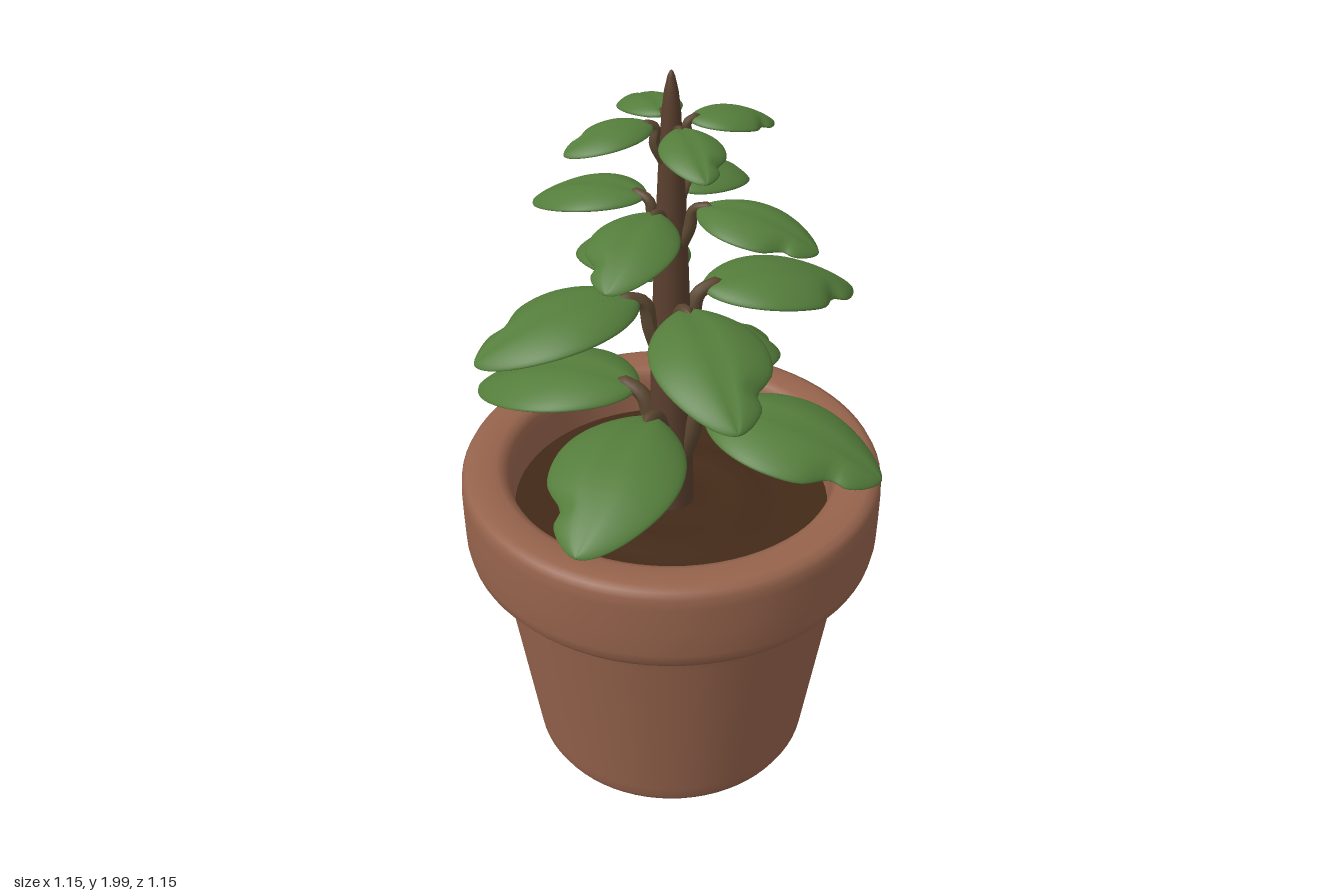
import * as THREE from 'three';

const mat = (color, extra = {}) => new THREE.MeshStandardMaterial({ color, roughness: 0.85, ...extra });
const clay = mat(0x96634c);
const earth = mat(0x432a18);
const bark = mat(0x5a3f2e);
const twig = mat(0x5a4630);
const green = mat(0x547d3b);

function add(parent, geometry, material, name) {
  const mesh = new THREE.Mesh(geometry, material);
  mesh.name = name;
  parent.add(mesh);
  return mesh;
}

const lathe = (pairs, segments) =>
  new THREE.LatheGeometry(pairs.map(([r, y]) => new THREE.Vector2(r, y)), segments);

// Puffy closed leaf growing along +z: a flattened tube with a midrib groove,
// drooping edges and a notch near the tip on one side.
function leafGeometry({ start, end, half, top, drop, thick }, side) {
  const rows = 36, cols = 36, pos = [], index = [];
  for (let i = 0; i <= rows; i++) {
    const u = (1 - Math.cos((Math.PI * i) / rows)) / 2;
    const outline = Math.pow(Math.max(0, Math.sin(Math.PI * Math.pow(u, 0.92))), 0.62);
    const notch = 1 - 0.3 * Math.exp(-(((u - 0.78) / 0.07) ** 2));
    const centreY = top - drop * ((u - 0.28) / 0.72) ** 2;
    const body = thick * Math.pow(outline, 0.6);
    for (let j = 0; j < cols; j++) {
      const a = (2 * Math.PI * j) / cols;
      const s = Math.cos(a), t = Math.sin(a);
      const w = half * outline * (s < 0 ? 1 + (notch - 1) * Math.min(1, -s * 1.5) : 1);
      const groove = t > 0 ? 0.4 * body * Math.exp(-((s / 0.16) ** 2)) : 0;
      const x = w * s + 0.05 * (end - start) * u * u;
      const y = centreY + body * t - groove - 0.22 * half * outline * s * s;
      pos.push(side * x, y, start + (end - start) * u);
      if (i === rows) continue;
      const k = (j + 1) % cols;
      const p = i * cols + j, q = i * cols + k;
      if (side > 0) index.push(p, q, p + cols, q, q + cols, p + cols);
      else index.push(p, p + cols, q, q, p + cols, q + cols);
    }
  }
  const g = new THREE.BufferGeometry();
  g.setAttribute('position', new THREE.Float32BufferAttribute(pos, 3));
  g.setIndex(index);
  g.computeVertexNormals();
  return g;
}

// Leaf stalk: leaves the stem steeply, then bends out over the leaf base
function stalkGeometry({ start, end, top, rise, stalk }) {
  const reach = start + 0.12 * (end - start);
  const curve = new THREE.CatmullRomCurve3([
    new THREE.Vector3(0, top - rise, 0.015),
    new THREE.Vector3(0, top - rise * 0.5, 0.03 + start * 0.25),
    new THREE.Vector3(0, top - rise * 0.12, start * 0.85),
    new THREE.Vector3(0, top + 0.004, reach),
  ]);
  const rings = 16, sides = 10;
  const g = new THREE.TubeGeometry(curve, rings, stalk, sides, false);
  // taper towards the leaf
  const p = g.attributes.position, v = new THREE.Vector3();
  for (let i = 0; i <= rings; i++) {
    const c = curve.getPointAt(i / rings);
    const k = i === rings ? 0 : 1.2 - 0.6 * (i / rings);
    for (let j = 0; j <= sides; j++) {
      const n = i * (sides + 1) + j;
      v.fromBufferAttribute(p, n).sub(c).multiplyScalar(k).add(c);
      p.setXYZ(n, v.x, v.y, v.z);
    }
  }
  g.computeVertexNormals();
  return g;
}

export function createModel() {
  const model = new THREE.Group();
  model.name = 'pottedPlant';

  // Pot with rounded foot, tapered wall and thick collar
  add(model, lathe([
    [0, 0.008], [0.34, 0.008], [0.365, 0.01], [0.382, 0.018], [0.391, 0.035], [0.396, 0.07],
    [0.435, 0.35], [0.47, 0.6], [0.474, 0.63], [0.482, 0.65], [0.497, 0.664],
    [0.52, 0.672], [0.54, 0.682], [0.553, 0.7], [0.559, 0.73], [0.56, 0.8],
    [0.56, 0.88], [0.557, 0.908], [0.548, 0.925], [0.53, 0.933], [0.5, 0.934],
    [0.465, 0.932], [0.447, 0.924], [0.436, 0.908], [0.43, 0.88], [0.42, 0.76],
  ], 72), clay, 'pot');

  // Soil with a low ring around the stem
  add(model, lathe([
    [0.43, 0.8], [0.38, 0.797], [0.3, 0.79], [0.25, 0.793], [0.21, 0.803], [0.17, 0.8],
    [0.13, 0.79], [0.09, 0.794], [0, 0.8],
  ], 64), earth, 'soil');

  // Stem tapering to a pointed bud
  add(model, lathe([
    [0.062, 0.77], [0.058, 0.95], [0.054, 1.2], [0.047, 1.4], [0.04, 1.58], [0.032, 1.75],
    [0.026, 1.84], [0.023, 1.9], [0.017, 1.95], [0.009, 1.985], [0.004, 1.997], [0, 2],
  ], 20), bark, 'stem');

  // Whorls of four leaves, each turned an eighth from the one below
  const whorls = [
    { start: 0.1, end: 0.573, half: 0.17, top: 1.132, drop: 0.118, thick: 0.023, rise: 0.22, stalk: 0.028 },
    { start: 0.085, end: 0.51, half: 0.145, top: 1.437, drop: 0.1, thick: 0.022, rise: 0.2, stalk: 0.025 },
    { start: 0.07, end: 0.37, half: 0.108, top: 1.682, drop: 0.07, thick: 0.016, rise: 0.13, stalk: 0.017 },
    { start: 0.045, end: 0.262, half: 0.076, top: 1.88, drop: 0.045, thick: 0.013, rise: 0.1, stalk: 0.014 },
  ];
  whorls.forEach((w, tier) => {
    const whorl = new THREE.Group();
    whorl.name = `whorl${tier + 1}`;
    const stalk = stalkGeometry(w);
    const leaf = leafGeometry(w, 1), mirrored = leafGeometry(w, -1);
    for (let i = 0; i < 4; i++) {
      const branch = new THREE.Group();
      branch.name = 'leafBranch';
      branch.rotation.y = (i * Math.PI) / 2 + (tier % 2) * (Math.PI / 4);
      add(branch, stalk, twig, 'leafStalk');
      add(branch, tier % 2 && i === 0 ? mirrored : leaf, green, 'leaf');
      whorl.add(branch);
    }
    model.add(whorl);
  });

  return model;
}
